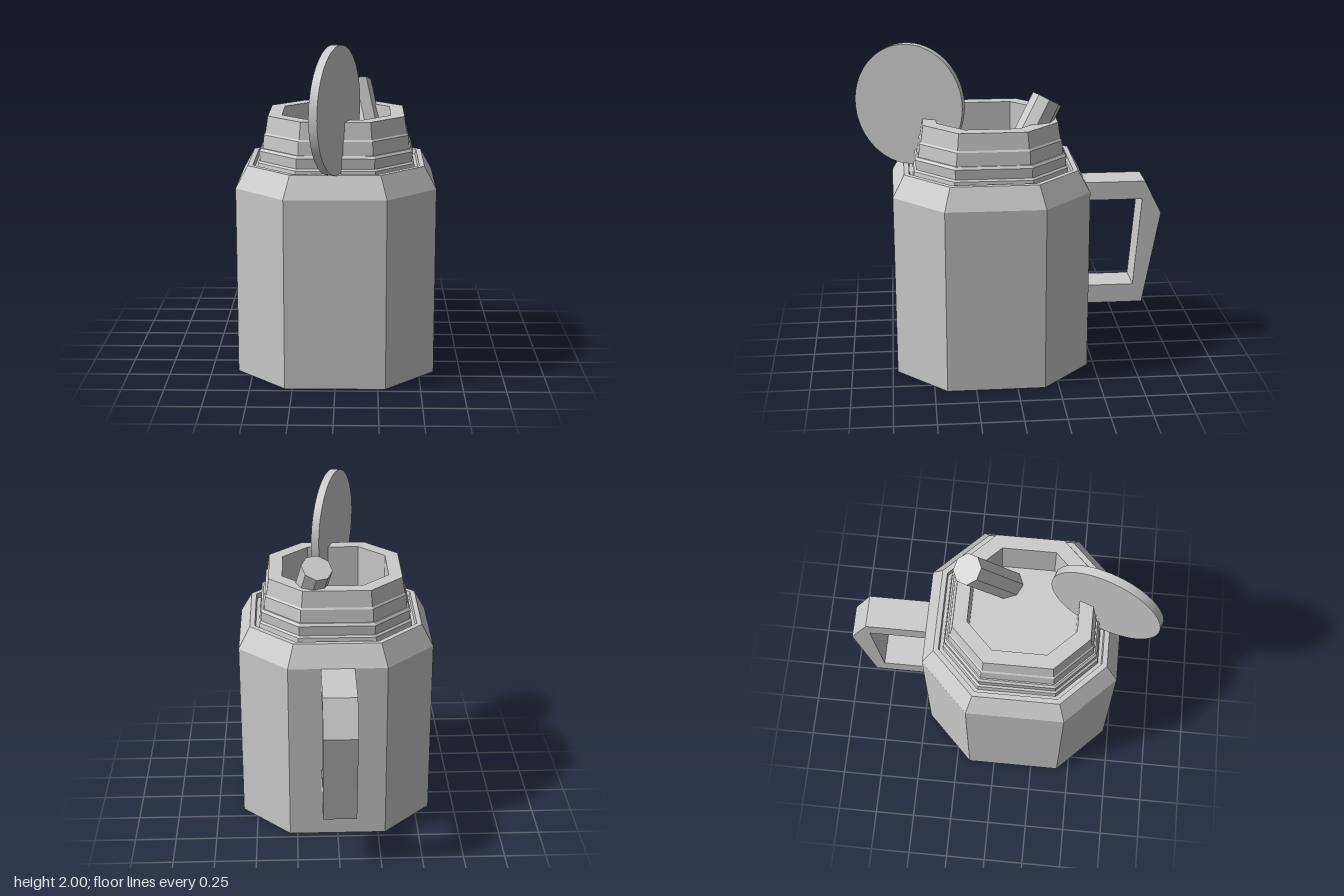
import * as THREE from 'three';

const CENTRE_Z = 0.13; // axis of the eight-sided jug

// Chamfered-square octagon with half width 1
const OCT = [[1, 0.5], [0.5, 1], [-0.5, 1], [-1, 0.5], [-1, -0.5], [-0.5, -1], [0.5, -1], [1, -0.5]];

// Faceted skin through octagon rings given as [half width, height]
function octLoft(profile) {
  const pos = [];
  const point = (k, [r, y]) => [OCT[k % 8][0] * r, y, OCT[k % 8][1] * r];
  for (let i = 0; i < profile.length - 1; i++) {
    const lo = profile[i], hi = profile[i + 1];
    for (let k = 0; k < 8; k++) {
      const a = point(k, lo), b = point(k + 1, lo), c = point(k + 1, hi), d = point(k, hi);
      if (hi[0] > 0) pos.push(...a, ...d, ...c);
      if (lo[0] > 0) pos.push(...a, ...c, ...b);
    }
  }
  const g = new THREE.BufferGeometry();
  g.setAttribute('position', new THREE.Float32BufferAttribute(pos, 3));
  g.computeVertexNormals();
  return g.translate(0, 0, CENTRE_Z);
}

export function createModel() {
  const group = new THREE.Group();
  const grey = new THREE.MeshStandardMaterial({ color: 0xcccccc });
  grey.name = 'light grey';
  const add = (name, geometry) => {
    const mesh = new THREE.Mesh(geometry, grey);
    mesh.name = name;
    group.add(mesh);
    return mesh;
  };

  // Body with sloped shoulder and a shallow groove around the neck
  add('body', octLoft([[0, 0], [0.59, 0], [0.59, 1.135], [0.52, 1.265], [0.49, 1.265], [0.485, 1.235], [0.44, 1.235]]));

  // Stepped neck, flat rim, straight inner wall and floor
  add('neck', octLoft([
    [0.465, 1.235], [0.46, 1.275], [0.448, 1.285], [0.452, 1.345], [0.44, 1.36],
    [0.432, 1.36], [0.425, 1.44], [0.417, 1.45], [0.402, 1.55],
    [0.32, 1.55], [0.32, 1.27], [0, 1.27],
  ]));

  // Handle: angular loop, extruded across x
  const loop = [
    [0.45, 1.135], [0.83, 1.135], [0.935, 0.925], [0.83, 0.335], [0.45, 0.335],
    [0.45, 0.455], [0.77, 0.455], [0.815, 1.02], [0.45, 1.02],
  ];
  const shape = new THREE.Shape(loop.map(([x, y]) => new THREE.Vector2(x, y)));
  const handle = new THREE.ExtrudeGeometry(shape, { depth: 0.2, bevelEnabled: false });
  handle.translate(0, 0, -0.1).rotateY(Math.PI / 2);
  add('handle', handle);

  // Open lid: thin upright oval disc standing through the front of the neck
  const lid = new THREE.CylinderGeometry(1, 1, 0.05, 64);
  lid.rotateZ(Math.PI / 2).scale(1, 0.37, 0.34);
  lid.rotateY(-Math.atan2(0.235, 0.64)).translate(0, 1.63, 0.605);
  add('lid', lid);

  // Leaning eight-sided spout rising from the floor of the neck
  const top = new THREE.Vector3(0.115, 1.672, -0.215);
  const drop = new THREE.Vector3(0.23, -1, 0.54).multiplyScalar(0.44);
  const tube = new THREE.CylinderGeometry(0.095, 0.095, drop.length(), 8).toNonIndexed();
  tube.computeVertexNormals();
  const spout = add('spout', tube);
  spout.position.copy(top).addScaledVector(drop, 0.5);
  spout.quaternion.setFromUnitVectors(new THREE.Vector3(0, 1, 0), drop.clone().negate().normalize());

  return group;
}
